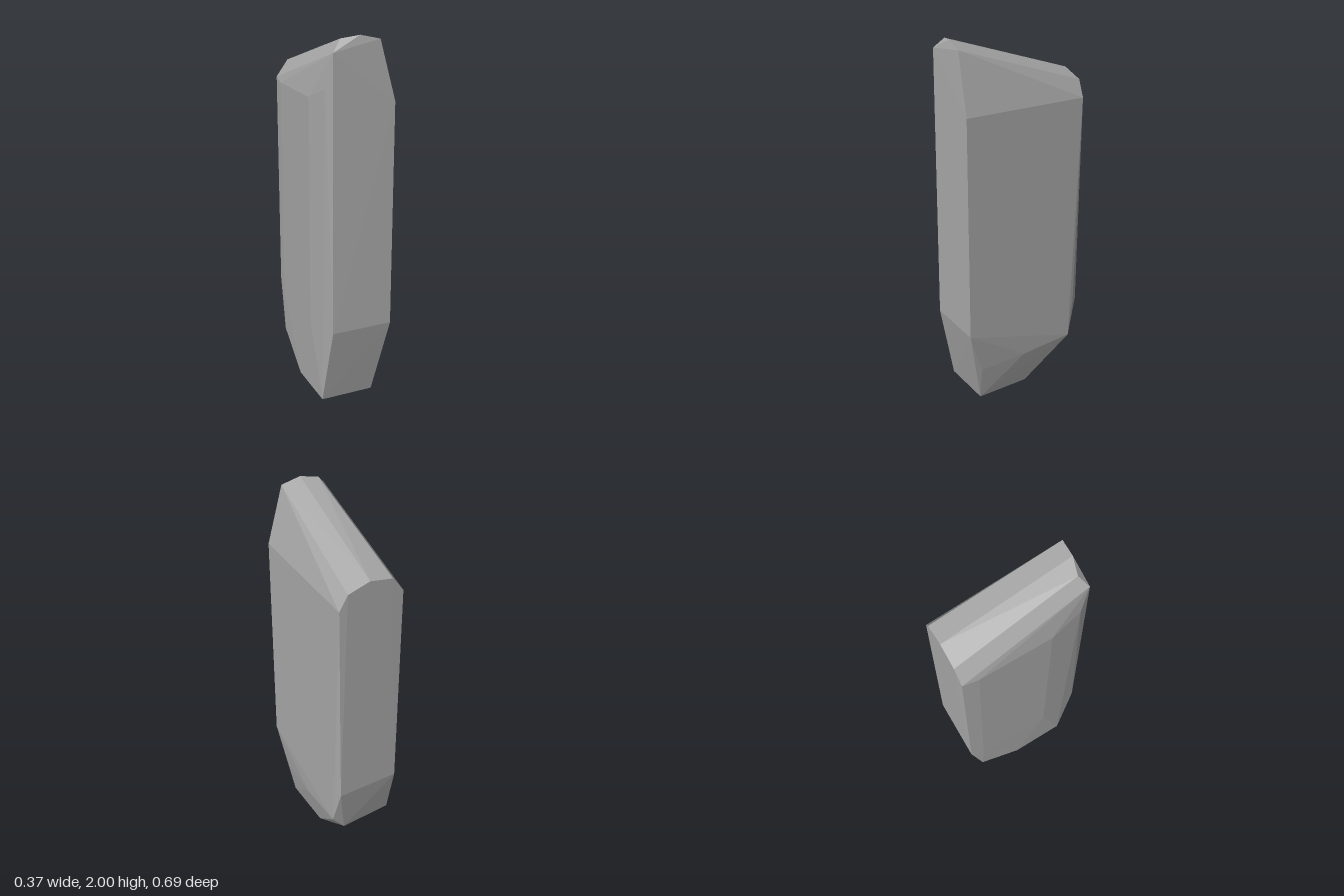
import * as THREE from 'three';
import { ConvexGeometry } from 'three/addons/geometries/ConvexGeometry.js';

// Corner points of the faceted stone slab, grouped by level
const levels = {
  base: [[0.12, 0, 0.255], [0.12, 0, -0.04], [-0.18, 0, -0.04], [-0.168, 0, 0.255]],
  heel: [
    [0.11, 0.155, -0.29], [-0.178, 0.16, -0.28],
    [0.182, 0.245, -0.29], [0.175, 0.22, 0], [0.155, 0.2, 0.265],
  ],
  lowerBody: [
    [0.182, 0.45, 0.348], [0.177, 0.46, -0.32], [0.165, 0.46, -0.345],
    [-0.176, 0.46, -0.345], [-0.184, 0.42, -0.27], [-0.184, 0.42, 0.13], [-0.144, 0.45, 0.346],
  ],
  upperBody: [
    [0.18, 1.665, 0.346], [0.178, 1.64, -0.342],
    [-0.175, 1.65, -0.345], [-0.184, 1.64, -0.26], [-0.184, 1.67, 0.13], [-0.162, 1.75, 0.29],
  ],
  // Sloping ridge: front end, then back end
  ridge: [
    [0.1, 1.975, 0.336], [0, 2, 0.327], [-0.09, 1.985, 0.3], [-0.14, 1.93, 0.336],
    [0.135, 1.725, -0.347], [0.015, 1.76, -0.347], [-0.112, 1.735, -0.347],
  ],
};

export function createModel() {
  const stone = new THREE.MeshStandardMaterial({ color: 0xa8a8a8 });
  stone.name = 'stone grey';
  stone.flatShading = true;

  const points = Object.values(levels).flat().map((p) => new THREE.Vector3(...p));
  const slab = new THREE.Mesh(new ConvexGeometry(points), stone);
  slab.name = 'stoneSlab';

  const group = new THREE.Group();
  group.name = 'standingStone';
  group.add(slab);
  return group;
}
